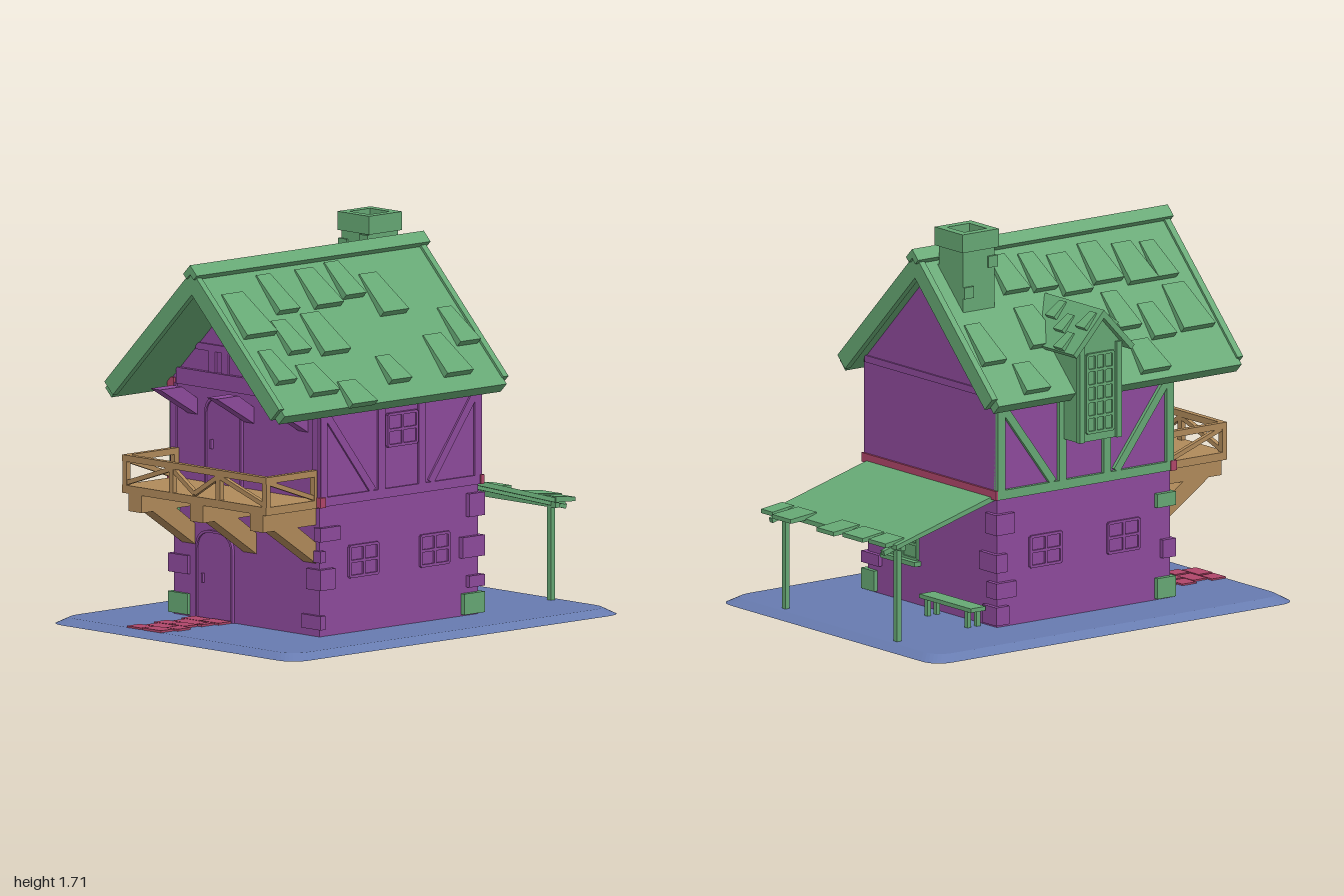
import * as THREE from 'three';

const mat = (color) => new THREE.MeshStandardMaterial({ color, flatShading: true });
const GREEN = mat(0x66a874), PURPLE = mat(0x8e4a9c), TAN = mat(0xb08a5a), BLUE = mat(0x677bb0), RED = mat(0xb0466a);

function add(parent, name, geo, material) {
  const m = new THREE.Mesh(geo, material);
  m.name = name;
  parent.add(m);
  return m;
}

function group(parent, name, pos = [0, 0, 0], ry = 0, rz = 0) {
  const g = new THREE.Group();
  g.name = name;
  g.position.set(...pos);
  g.rotation.set(0, ry, rz);
  parent.add(g);
  return g;
}

// box given by its two opposite corners
function box(parent, name, material, x0, x1, y0, y1, z0, z1) {
  const geo = new THREE.BoxGeometry(x1 - x0, y1 - y0, z1 - z0);
  geo.translate((x0 + x1) / 2, (y0 + y1) / 2, (z0 + z1) / 2);
  return add(parent, name, geo, material);
}

// straight beam between two points
function beam(parent, name, material, a, b, w, d = w) {
  const p = new THREE.Vector3(...a), q = new THREE.Vector3(...b);
  const m = add(parent, name, new THREE.BoxGeometry(w, d, p.distanceTo(q)), material);
  m.position.copy(p).add(q).multiplyScalar(0.5);
  m.lookAt(q);
  return m;
}

// outline in x,y pushed along z from z0 to z1
function prism(parent, name, material, pts, z0, z1) {
  const shape = Array.isArray(pts) ? new THREE.Shape(pts.map((p) => new THREE.Vector2(...p))) : pts;
  const geo = new THREE.ExtrudeGeometry(shape, { depth: z1 - z0, bevelEnabled: false, curveSegments: 8 });
  geo.translate(0, 0, z0);
  return add(parent, name, geo, material);
}

// outline in z,y, centred on x
function sidePrism(parent, name, material, pts, x, w) {
  const m = prism(parent, name, material, pts, -w / 2, w / 2);
  m.geometry.rotateY(-Math.PI / 2).translate(x, 0, 0);
}

// inverted V cross-section
const chevron = (h, top, end, t) => [[0, top], [-h, end], [-h + t, end - t], [0, top - 2 * t], [h - t, end - t], [h, end]];

// tapering roof tile: thin and narrow at the top, thick at the lower edge
function tile(parent, d, z, len, w, t = 0.032) {
  const geo = new THREE.BoxGeometry(len, t, w);
  const p = geo.attributes.position;
  for (let i = 0; i < p.count; i++) {
    if (p.getX(i) > 0) continue;
    p.setZ(i, p.getZ(i) * 0.68);
    if (p.getY(i) > 0) p.setY(i, -t / 2 + 0.006);
  }
  geo.computeVertexNormals();
  add(parent, 'roofTile', geo, GREEN).position.set(d, t / 2, z);
}

// framed window facing local +z
function paneWindow(parent, pos, ry, w, h, cols, rows, material) {
  const g = group(parent, 'window', pos, ry);
  box(g, 'pane', material, -w / 2, w / 2, -h / 2, h / 2, -0.01, 0.002);
  for (let i = 0; i <= cols; i++) {
    const x = (i / cols - 0.5) * w;
    box(g, 'windowBar', material, x - 0.006, x + 0.006, -h / 2, h / 2, -0.01, 0.01);
  }
  for (let i = 0; i <= rows; i++) {
    const y = (i / rows - 0.5) * h;
    box(g, 'windowBar', material, -w / 2, w / 2, y - 0.006, y + 0.006, -0.01, 0.01);
  }
}

function archShape(w, h, r = w * 0.4) {
  const s = new THREE.Shape();
  s.moveTo(-w / 2, 0).lineTo(w / 2, 0).lineTo(w / 2, h - r);
  s.quadraticCurveTo(w / 2, h, w / 2 - r, h);
  s.lineTo(-w / 2 + r, h).quadraticCurveTo(-w / 2, h, -w / 2, h - r);
  return s;
}

function door(parent, x, y, z) {
  const g = group(parent, 'door', [x, y, z]);
  const frame = archShape(0.23, 0.39);
  frame.holes.push(archShape(0.21, 0.38));
  prism(g, 'doorFrame', PURPLE, frame, -0.01, 0.014);
  prism(g, 'doorLeaf', PURPLE, archShape(0.21, 0.38), -0.01, 0.006);
  box(g, 'doorHandle', PURPLE, -0.073, -0.064, 0.16, 0.2, 0.006, 0.02);
}

function buildBase(root) {
  const s = new THREE.Shape(), w = 0.76, h = 0.98, r = 0.1;
  s.moveTo(-w + r, -h).lineTo(w - r, -h).quadraticCurveTo(w, -h, w, -h + r);
  s.lineTo(w, h - r).quadraticCurveTo(w, h, w - r, h);
  s.lineTo(-w + r, h).quadraticCurveTo(-w, h, -w, h - r);
  s.lineTo(-w, -h + r).quadraticCurveTo(-w, -h, -w + r, -h);
  const base = prism(root, 'groundSlab', BLUE, s, 0, 0.028);
  const p = base.geometry.attributes.position;
  for (let i = 0; i < p.count; i++) if (p.getZ(i) > 0.01) p.setXY(i, p.getX(i) * 0.94, p.getY(i) * 0.955);
  base.geometry.rotateX(-Math.PI / 2).translate(0, 0, 0.018).computeVertexNormals();
  // paving leading to the door, staggered rows
  for (let r = 0; r < 5; r++) {
    const z = 0.56 + r * 0.08, split = [-0.2, -0.14, -0.22, -0.16, -0.22][r];
    box(root, 'pavingStone', RED, -0.31 + (r % 2) * 0.03, split - 0.005, 0.02, 0.035, z, z + 0.075);
    box(root, 'pavingStone', RED, split + 0.005, -0.08 - (r % 3) * 0.02, 0.02, 0.037, z, z + 0.075);
  }
}

function buildWalls(root) {
  box(root, 'lowerWalls', PURPLE, -0.45, 0.45, 0.02, 0.59, -0.39, 0.545);
  prism(root, 'upperWalls', PURPLE, [[-0.455, 0.59], [0.455, 0.59], [0.455, 1.05], [0, 1.51], [-0.455, 1.05]], -0.4, 0.55);
  // corner stones: side, end, y, height, length along x, length along z, colour
  const stones = [
    [-1, 1, 0.08, 0.09, 0.12, 0.1, GREEN], [-1, 1, 0.25, 0.08, 0.12, 0.07], [-1, 1, 0.465, 0.06, 0.06, 0.1, GREEN],
    [1, 1, 0.47, 0.06, 0.04, 0.12], [1, 1, 0.275, 0.09, 0.09, 0.09], [1, 1, 0.375, 0.05, 0.05, 0.03], [1, 1, 0.09, 0.06, 0.12, 0.03],
    [1, -1, 0.08, 0.09, 0.09, 0.12, GREEN], [1, -1, 0.175, 0.05, 0.12, 0.09], [1, -1, 0.325, 0.09, 0.07, 0.13], [1, -1, 0.505, 0.1, 0.11, 0.09],
    [-1, -1, 0.08, 0.08, 0.1, 0.07], [-1, -1, 0.19, 0.07, 0.07, 0.11], [-1, -1, 0.31, 0.08, 0.12, 0.06], [-1, -1, 0.48, 0.09, 0.08, 0.1],
  ];
  for (const [sx, sz, y, h, lx, lz, m = PURPLE] of stones) {
    const X = sx * 0.472, Z = sz > 0 ? 0.56 : -0.41, X2 = X - sx * lx, Z2 = Z - sz * lz;
    box(root, 'cornerStone', m, Math.min(X, X2), Math.max(X, X2), y - h / 2, y + h / 2, Math.min(Z, Z2), Math.max(Z, Z2));
  }
  // timber framing of the long sides
  for (const s of [1, -1]) {
    const m = s > 0 ? PURPLE : GREEN, x = s * 0.458, t = s > 0 ? 0.012 : 0.028;
    const side = group(root, 'sideTimbers');
    for (const y of [0.61, 1.02]) beam(side, 'sideRail', m, [x, y, -0.4], [x, y, 0.55], t, 0.04);
    for (const z of [-0.38, -0.05, 0.19, 0.53]) beam(side, 'sidePost', m, [x, 0.61, z], [x, 1.02, z], 0.04, t).rotation.set(Math.PI / 2, 0, Math.PI / 2);
    for (const [a, b] of [[-0.36, -0.1], [0.51, 0.24]]) beam(side, 'sideBrace', m, [x, 0.98, a], [x, 0.63, b], t, 0.035);
    for (const z of [0.29, -0.13]) paneWindow(root, [s * 0.45, 0.335, z], s * Math.PI / 2, 0.165, 0.13, 2, 2, PURPLE);
  }
  paneWindow(root, [0.46, 0.88, 0.07], Math.PI / 2, 0.17, 0.135, 2, 2, PURPLE);
  paneWindow(root, [0.2, 0.29, -0.39], Math.PI, 0.2, 0.13, 2, 2, GREEN);
  // beams and studs of the front and back
  box(root, 'backRail', RED, -0.47, 0.47, 0.59, 0.63, -0.41, -0.39);
  box(root, 'backTieBeam', PURPLE, -0.45, 0.45, 1.03, 1.06, -0.408, -0.39);
  for (const x of [-0.455, 0.455]) for (const y of [0.61, 1.03]) box(root, 'beamEnd', RED, x - 0.02, x + 0.02, y - 0.022, y + 0.022, 0.53, 0.562);
  box(root, 'frontTieBeam', PURPLE, -0.41, 0.41, 1.03, 1.1, 0.54, 0.57);
  box(root, 'collarBeam', PURPLE, -0.12, 0.12, 1.36, 1.39, 0.54, 0.562);
  for (const x of [-0.2, -0.12, 0.14, 0.21]) box(root, 'gableStud', PURPLE, x - 0.02, x + 0.02, 1.1, 1.19, 0.54, 0.56);
  box(root, 'gableRail', PURPLE, -0.3, 0.3, 1.19, 1.22, 0.54, 0.56);
  prism(root, 'gablePost', GREEN, [[0.06, 1.1], [0.1, 1.1], [0.095, 1.31]], 0.54, 0.575);
  for (const x of [-0.44, 0.44]) box(root, 'frontPost', PURPLE, x - 0.018, x + 0.018, 0.63, 1.03, 0.54, 0.56);
  door(root, -0.19, 0.025, 0.545);
  door(root, -0.13, 0.61, 0.55);
  for (const x of [-0.33, 0.02, 0.355]) sidePrism(root, 'eaveBracket', PURPLE, [[0.54, 0.9], [0.54, 0.97], [0.64, 1.035], [0.77, 1.035]], x, 0.06);
}

function buildRoof(root) {
  prism(root, 'roofSlabs', GREEN, chevron(0.555, 1.58, 1.025, 0.038), -0.46, 0.85);
  for (const z of [-0.485, 0.84]) prism(root, 'bargeBoard', GREEN, chevron(0.54, 1.595, 1.055, 0.052), z, z + 0.03);
  prism(root, 'ridgeCap', GREEN, chevron(0.042, 1.62, 1.578, 0.02), -0.5, 0.88);
  // tiles: z, lower y, upper y, width
  const right = [[0.72, 1.32, 1.49, 0.18], [0.49, 1.39, 1.54, 0.12], [0.25, 1.39, 1.54, 0.155], [0.08, 1.41, 1.55, 0.12],
    [-0.08, 1.33, 1.49, 0.15], [-0.38, 1.185, 1.33, 0.12], [0.74, 1.14, 1.27, 0.11], [0.565, 1.24, 1.37, 0.12],
    [0.37, 1.22, 1.38, 0.155], [0.57, 1.08, 1.2, 0.155], [0.12, 1.085, 1.19, 0.12], [-0.22, 1.08, 1.24, 0.155], [0.4, 1.02, 1.12, 0.15]];
  const left = [[-0.38, 1.17, 1.32, 0.12], [-0.08, 1.2, 1.35, 0.15], [0.07, 1.39, 1.53, 0.12], [0.22, 1.36, 1.51, 0.15],
    [0.4, 1.05, 1.17, 0.15], [0.38, 1.21, 1.35, 0.12], [0.4, 1.38, 1.53, 0.15], [0.53, 1.16, 1.29, 0.12],
    [0.57, 1.36, 1.51, 0.15], [0.72, 1.17, 1.34, 0.17], [0.7, 1.36, 1.5, 0.11], [-0.24, 1.05, 1.16, 0.13], [-0.08, 1.4, 1.54, 0.13]];
  for (const [s, rows] of [[1, right], [-1, left]]) {
    const slope = group(root, s > 0 ? 'leftSlopeTiles' : 'rightSlopeTiles', [0, 1.58, 0], s > 0 ? 0 : Math.PI, -Math.PI / 4);
    for (const [z, y0, y1, w] of rows) tile(slope, (1.58 - (y0 + y1) / 2) * Math.SQRT2, s * z, (y1 - y0) * Math.SQRT2, w);
  }
  // hollow chimney
  const ring = (a, b) => {
    const s = new THREE.Shape([[-a, -a], [a, -a], [a, a], [-a, a]].map((p) => new THREE.Vector2(...p)));
    s.holes.push(new THREE.Path([[-b, -b], [-b, b], [b, b], [b, -b]].map((p) => new THREE.Vector2(...p))));
    return s;
  };
  const chimney = group(root, 'chimney', [-0.13, 0, -0.305]);
  prism(chimney, 'chimneyStack', GREEN, ring(0.085, 0.06), 1.25, 1.64).rotation.x = -Math.PI / 2;
  prism(chimney, 'chimneyCap', GREEN, ring(0.098, 0.06), 1.63, 1.71).rotation.x = -Math.PI / 2;
  for (const [x, y, z] of [[-0.07, 1.57, 0.07], [0.07, 1.52, -0.06], [-0.07, 1.45, -0.06], [0.06, 1.6, 0.07]])
    box(chimney, 'chimneyStone', GREEN, x - 0.025, x + 0.025, y - 0.025, y + 0.025, z - 0.025, z + 0.025);
}

// dormer built facing local +z, turned towards -x
function buildDormer(root) {
  const g = group(root, 'dormer', [0, 0, 0.065], -Math.PI / 2);
  prism(g, 'dormerBody', GREEN, [[-0.11, 0.81], [0.11, 0.81], [0.11, 1.23], [0, 1.355], [-0.11, 1.23]], 0.28, 0.575);
  prism(g, 'dormerRoof', GREEN, chevron(0.165, 1.385, 1.21, 0.018), 0.2, 0.61);
  for (const x of [-0.1, 0.1]) box(g, 'dormerPost', GREEN, x - 0.014, x + 0.014, 0.81, 1.23, 0.56, 0.588);
  paneWindow(g, [0, 1.02, 0.577], 0, 0.14, 0.34, 3, 5, GREEN);
  for (const s of [1, -1]) {
    const slope = group(g, 'dormerTiles', [0, 1.385, 0], s > 0 ? 0 : Math.PI, -Math.atan2(0.175, 0.165));
    for (const [d, z] of [[0.07, 0.56], [0.11, 0.44], [0.19, 0.51], [0.06, 0.34]]) tile(slope, d, s * z, 0.09, 0.065, 0.02);
  }
}

function buildBalcony(root) {
  const g = group(root, 'balcony');
  box(g, 'balconyFloor', TAN, -0.44, 0.45, 0.585, 0.62, 0.55, 0.86);
  for (const x of [-0.36, 0.02, 0.39]) {
    box(g, 'floorBeam', TAN, x - 0.04, x + 0.04, 0.51, 0.59, 0.54, 0.86);
    sidePrism(g, 'balconyBrace', TAN, [[0.54, 0.34], [0.54, 0.43], [0.66, 0.515], [0.8, 0.515]], x, 0.08);
  }
  const F = 0.847, posts = [-0.427, -0.14, 0.15, 0.437], top = 0.735;
  box(g, 'frontHandrail', TAN, -0.44, 0.45, 0.722, 0.75, 0.833, 0.86);
  for (const x of posts) box(g, 'railPost', TAN, x - 0.013, x + 0.013, 0.6, 0.74, 0.835, 0.859);
  for (const [a, b] of [[-0.42, -0.14], [0, -0.14], [0, 0.15], [0.43, 0.15]]) beam(g, 'railBrace', TAN, [a, 0.63, F], [b, 0.722, F], 0.02);
  for (const x of [posts[0], posts[3]]) {
    box(g, 'sideHandrail', TAN, x - 0.013, x + 0.013, 0.722, 0.75, 0.55, 0.85);
    box(g, 'sideRailPost', TAN, x - 0.013, x + 0.013, 0.6, 0.74, 0.55, 0.575);
    beam(g, 'sideRailBrace', TAN, [x, top - 0.01, 0.84], [x, 0.63, 0.57], 0.02);
  }
}

function buildLeanTo(root) {
  const g = group(root, 'leanTo');
  sidePrism(g, 'awning', GREEN, [[-0.39, 0.605], [-0.92, 0.46], [-0.92, 0.44], [-0.39, 0.582]], 0, 0.87);
  // ragged plank ends: x start, x end, z end
  for (const [a, b, z] of [[-0.41, -0.29, -0.96], [-0.27, -0.13, -0.975], [-0.1, 0.02, -1], [0.2, 0.33, -1], [0.36, 0.44, -0.975]])
    sidePrism(g, 'awningPlank', GREEN, [[-0.86, 0.482], [z, 0.468], [z, 0.45], [-0.86, 0.456]], (a + b) / 2, b - a);
  box(g, 'awningBeam', GREEN, -0.43, 0.43, 0.43, 0.455, -0.893, -0.867);
  for (const x of [-0.39, 0.39]) {
    box(g, 'awningPost', GREEN, x - 0.012, x + 0.012, 0.02, 0.45, -0.892, -0.868);
    beam(g, 'awningRafter', GREEN, [x, 0.575, -0.4], [x, 0.425, -0.96], 0.022);
  }
  // bench against the back wall
  box(g, 'benchSeat', GREEN, -0.41, -0.05, 0.1, 0.118, -0.5, -0.42);
  for (const x of [-0.37, -0.09]) for (const z of [-0.485, -0.435]) box(g, 'benchLeg', GREEN, x - 0.01, x + 0.01, 0.02, 0.1, z - 0.01, z + 0.01);
  box(g, 'windowSill', GREEN, 0.08, 0.32, 0.2, 0.22, -0.425, -0.385);
}

export function createModel() {
  const root = new THREE.Group();
  root.name = 'timberHouse';
  for (const build of [buildBase, buildWalls, buildRoof, buildDormer, buildBalcony, buildLeanTo]) build(root);
  return root;
}
